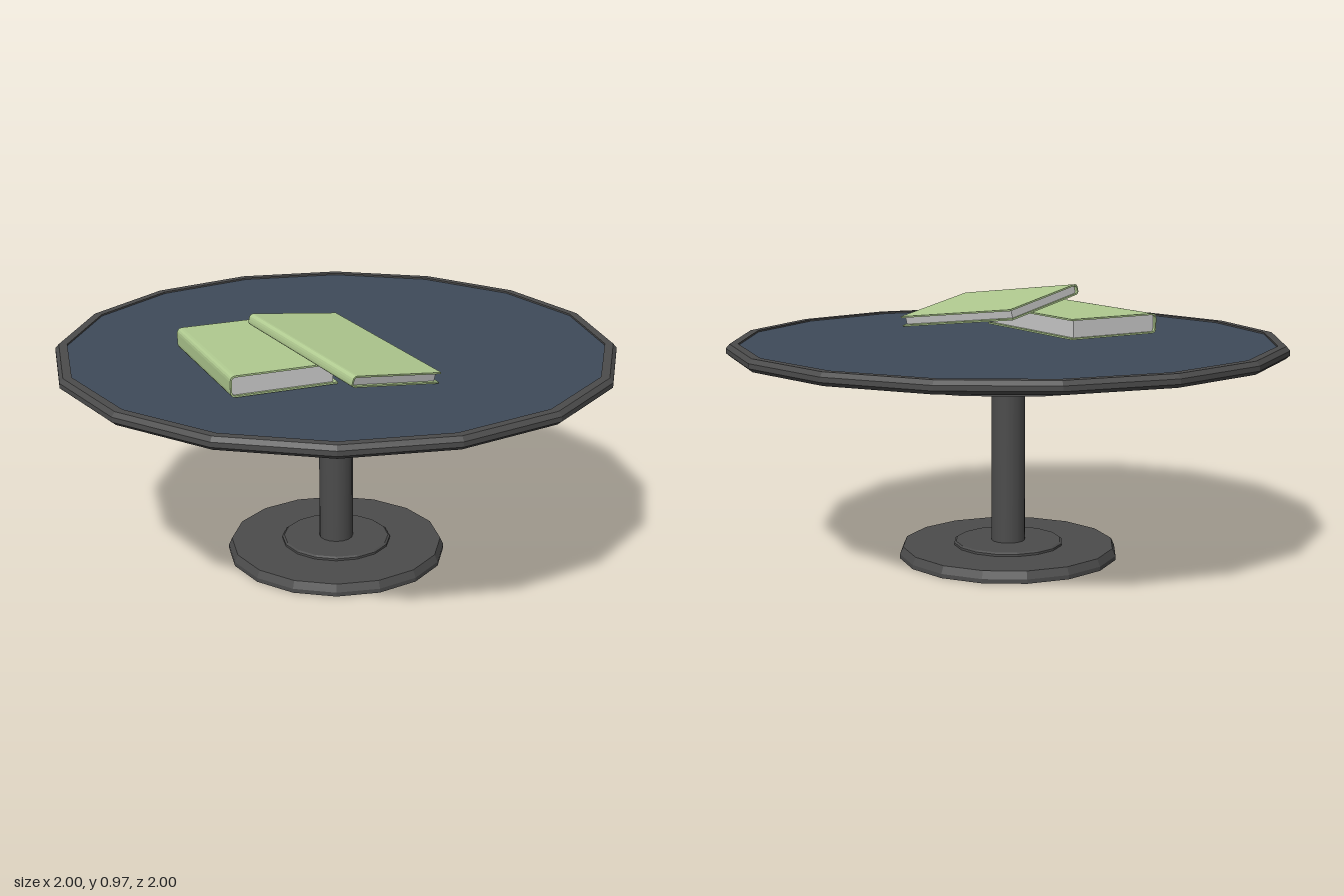
import * as THREE from 'three';

const SIDES = 16;
const material = (color, extra = {}) => new THREE.MeshStandardMaterial({ color, ...extra });

export function createModel() {
  const model = new THREE.Group();
  const frame = material(0x4c4c4c, { flatShading: true });
  const frameSmooth = material(0x4c4c4c);
  const glass = material(0x3f4b5a, { flatShading: true });
  const cover = material(0xb0ca90);
  const paper = material(0xcccccc);

  const add = (name, geometry, mat, parent = model) => {
    const mesh = new THREE.Mesh(geometry, mat);
    mesh.name = name;
    parent.add(mesh);
    return mesh;
  };
  // Faceted turned part from [radius, height] pairs, outside going up
  const turned = (name, points) =>
    add(name, new THREE.LatheGeometry(points.map(([r, y]) => new THREE.Vector2(r, y)), SIDES), frame);

  // Foot: bevelled plate with a raised collar
  turned('basePlate', [[0, 0], [0.4, 0], [0.4, 0.015], [0.388, 0.042], [0, 0.042]]);
  turned('baseCollar', [[0.2, 0.04], [0.2, 0.05], [0.193, 0.055], [0, 0.055]]);

  // Column
  const column = add('column', new THREE.CylinderGeometry(0.062, 0.062, 0.71, 16), frameSmooth);
  column.position.y = 0.405;

  // Table top: inset pane held by a bevelled rim
  const pane = add('tabletop', new THREE.CylinderGeometry(0.965, 0.965, 0.033, SIDES), glass);
  pane.position.y = 0.7775;
  turned('rim', [[0.955, 0.755], [0.985, 0.755], [1, 0.768], [1, 0.785], [0.987, 0.8],
    [0.957, 0.8], [0.955, 0.755]]);

  // Support ring under the top
  turned('supportRing', [[0.605, 0.692], [0.632, 0.692], [0.632, 0.762], [0.605, 0.762], [0.605, 0.692]]);

  // Five stepped spokes from column to ring
  for (let i = 0; i < 5; i++) {
    const spoke = new THREE.Group();
    spoke.name = 'spoke';
    const flange = add('spokeFlange', new THREE.BoxGeometry(0.57, 0.025, 0.085), frame, spoke);
    flange.position.set(0.325, 0.75, 0);
    const web = add('spokeWeb', new THREE.BoxGeometry(0.57, 0.025, 0.04), frame, spoke);
    web.position.set(0.325, 0.727, 0);
    spoke.rotation.y = Math.PI + (i * Math.PI * 2) / 5;
    model.add(spoke);
  }

  // Book with its origin at the middle of the underside, spine towards -x
  const makeBook = (name, w, h, d) => {
    const book = new THREE.Group();
    book.name = name;
    const t = 0.006, l = -w / 2, r = w / 2, c = Math.min(0.02, h * 0.4);
    const s = new THREE.Shape();
    s.moveTo(r, 0);
    s.lineTo(r, t);
    s.lineTo(l + c, t);
    s.quadraticCurveTo(l + t, t, l + t, c);
    s.lineTo(l + t, h - c);
    s.quadraticCurveTo(l + t, h - t, l + c, h - t);
    s.lineTo(r, h - t);
    s.lineTo(r, h);
    s.lineTo(l + c, h);
    s.quadraticCurveTo(l, h, l, h - c);
    s.lineTo(l, c);
    s.quadraticCurveTo(l, 0, l + c, 0);
    s.closePath();
    const shell = new THREE.ExtrudeGeometry(s, { depth: d, bevelEnabled: false, curveSegments: 4 });
    add('bookCover', shell.translate(0, 0, -d / 2), cover, book);
    const pages = add('bookPages', new THREE.BoxGeometry(w - 0.022, h - 2 * t, d - 0.02), paper, book);
    pages.position.set(-0.003, h / 2, 0);
    model.add(book);
    return book;
  };

  // Lower book lies flat, upper book leans on it
  makeBook('lowerBook', 0.375, 0.074, 0.57).position.set(-0.348, 0.8, 0.115);

  const upper = makeBook('upperBook', 0.38, 0.04, 0.575);
  const across = new THREE.Vector3(0.36, -0.067, -0.105).normalize();
  const along = new THREE.Vector3(0.155, -0.072, 0.55);
  const up = along.clone().cross(across).normalize();
  along.crossVectors(across, up);
  upper.quaternion.setFromRotationMatrix(new THREE.Matrix4().makeBasis(across, up, along));
  upper.position.set(-0.095, 0.904, 0.298).addScaledVector(up, -0.04);

  return model;
}
